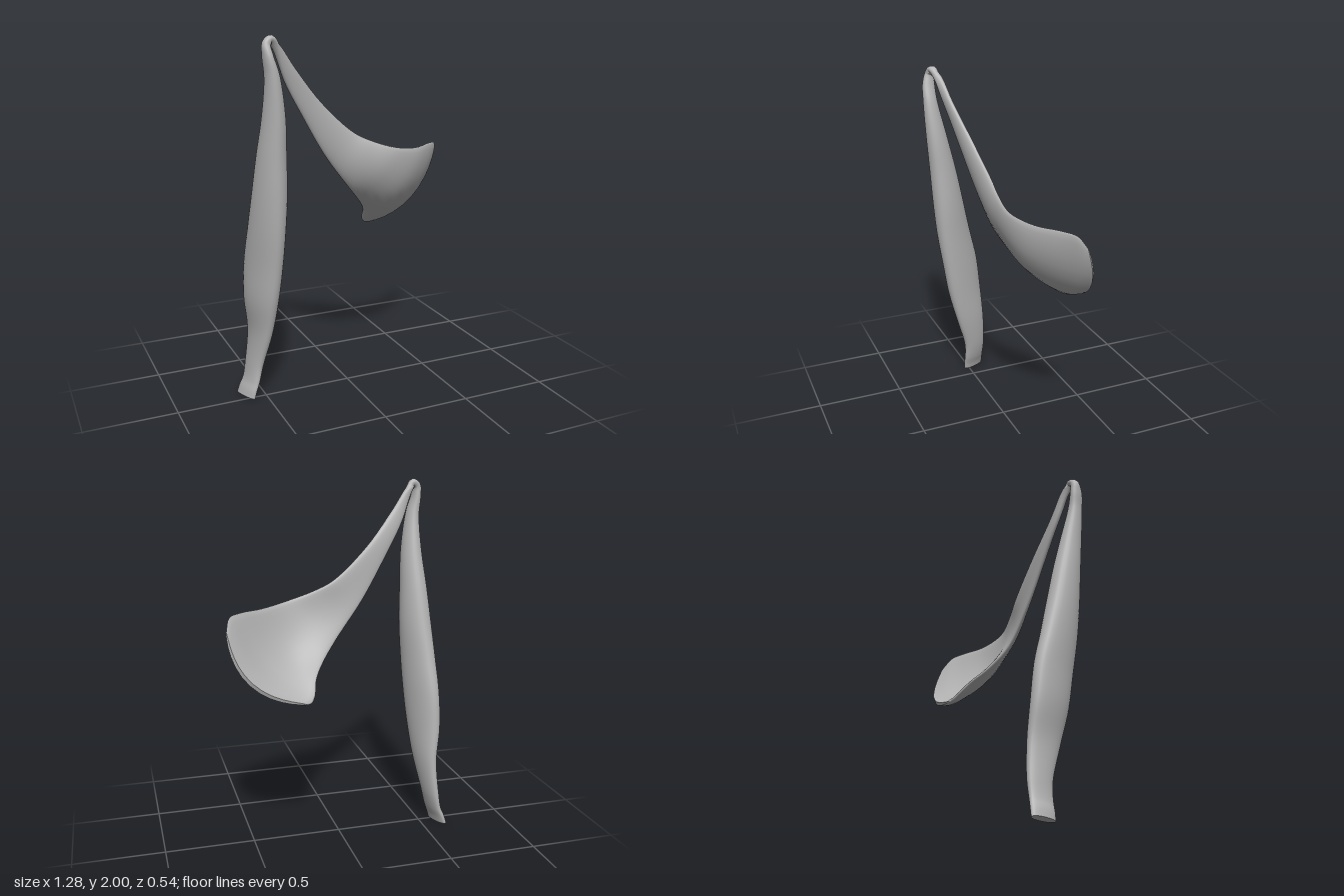
import * as THREE from 'three';

// leg stations, foot to fold: y, centre x, centre z, half width, half thickness, x lean of the width direction
const LEG = [
  [0.008, -0.606, -0.036, 0.074, 0.02, 0.38],
  [0.05, -0.594, -0.034, 0.073, 0.022, 0.35],
  [0.1, -0.575, -0.032, 0.07, 0.024, 0.32],
  [0.2, -0.555, -0.03, 0.073, 0.031, 0.3],
  [0.4, -0.528, 0.005, 0.098, 0.04, 0.32],
  [0.6, -0.528, 0.04, 0.122, 0.055, 0.42],
  [0.8, -0.52, 0.07, 0.13, 0.06, 0.45],
  [1.0, -0.51, 0.11, 0.12, 0.065, 0.47],
  [1.2, -0.5, 0.143, 0.104, 0.068, 0.49],
  [1.4, -0.495, 0.172, 0.085, 0.062, 0.49],
  [1.6, -0.49, 0.205, 0.065, 0.05, 0.49],
  [1.8, -0.502, 0.232, 0.043, 0.034, 0.4],
  [1.9, -0.522, 0.233, 0.036, 0.025, 0.2],
];

// fold, arm and dish stations: lower edge, middle, upper edge, half thickness
const ARM = [
  [[-0.527, 1.958, 0.25], [-0.525, 1.958, 0.225], [-0.523, 1.958, 0.2], 0.022],
  [[-0.5, 1.976, 0.24], [-0.498, 1.978, 0.216], [-0.496, 1.976, 0.192], 0.022],
  [[-0.475, 1.93, 0.215], [-0.465, 1.938, 0.198], [-0.448, 1.95, 0.184], 0.02],
  [[-0.42, 1.78, 0.165], [-0.39, 1.805, 0.164], [-0.355, 1.83, 0.16], 0.02],
  [[-0.3, 1.572, 0.122], [-0.25, 1.608, 0.12], [-0.193, 1.643, 0.106], 0.022],
  [[-0.16, 1.352, 0.08], [-0.08, 1.41, 0.088], [0.005, 1.472, 0.073], 0.022],
  [[0.0, 1.158, 0.025], [0.045, 1.29, 0.08], [0.11, 1.42, 0.078], 0.022],
  [[0.1, 1.055, -0.06], [0.165, 1.2, 0.055], [0.26, 1.372, 0.078], 0.023],
  [[0.165, 0.98, -0.15], [0.295, 1.11, 0.0], [0.42, 1.348, 0.012], 0.024],
  [[0.19, 0.905, -0.215], [0.41, 1.05, -0.1], [0.55, 1.35, -0.073], 0.024],
  [[0.215, 0.876, -0.236], [0.49, 1.02, -0.195], [0.618, 1.338, -0.128], 0.021],
  [[0.25, 0.88, -0.248], [0.535, 1.012, -0.256], [0.642, 1.275, -0.176], 0.011],
];

// smooth band lofted through the stations, closed at both ends
function loftBand(stations, steps, sides) {
  const curve = (pts) => new THREE.CatmullRomCurve3(pts);
  const [low, mid, up] = [0, 1, 2].map((k) => curve(stations.map((s) => new THREE.Vector3(...s[k]))));
  const thick = curve(stations.map((s, i) => new THREE.Vector3(s[3], i * 0.1, 0)));

  // point on the middle surface, s runs from -1 (lower edge) to 1 (upper edge)
  const at = (u, s) =>
    new THREE.Vector3()
      .addScaledVector(low.getPoint(u), (s * (s - 1)) / 2)
      .addScaledVector(mid.getPoint(u), 1 - s * s)
      .addScaledVector(up.getPoint(u), (s * (s + 1)) / 2);

  const pos = [];
  const index = [];
  const e = 0.002;
  for (let i = 0; i <= steps; i++) {
    const u = i / steps;
    const half = thick.getPoint(u).x;
    for (let j = 0; j < sides; j++) {
      const t = (j / sides) * Math.PI * 2;
      const s = Math.cos(t);
      const across = at(u, s + 0.02).sub(at(u, s - 0.02));
      const along = at(Math.min(1, u + e), s).sub(at(Math.max(0, u - e), s));
      const n = across.cross(along).normalize();
      const h = Math.sign(Math.sin(t)) * Math.pow(Math.abs(Math.sin(t)), 0.85) * half;
      pos.push(...at(u, s).addScaledVector(n, h).toArray());
    }
  }
  for (let i = 0; i < steps; i++) {
    for (let j = 0; j < sides; j++) {
      const k = (j + 1) % sides;
      const a = i * sides + j, b = (i + 1) * sides + j;
      const c = i * sides + k, d = (i + 1) * sides + k;
      index.push(a, b, c, c, b, d);
    }
  }
  // end caps with their own corners, so that the rims stay crisp
  for (const [ring, flip] of [[0, false], [steps, true]]) {
    const base = pos.length / 3;
    pos.push(...pos.slice(ring * sides * 3, (ring + 1) * sides * 3));
    for (let j = 0; j < sides / 2; j++) {
      const a = base + j, b = base + j + 1;
      const c = base + ((sides - j) % sides), d = base + sides - j - 1;
      for (const [p, q, r] of [[a, b, d], [a, d, c]]) {
        if (p === q || q === r || p === r) continue;
        index.push(...(flip ? [p, r, q] : [p, q, r]));
      }
    }
  }
  const geo = new THREE.BufferGeometry();
  geo.setAttribute('position', new THREE.Float32BufferAttribute(pos, 3));
  geo.setIndex(index);
  geo.computeVertexNormals();
  return geo;
}

export function createModel() {
  const group = new THREE.Group();
  group.name = 'foldedBand';
  const grey = new THREE.MeshStandardMaterial({ color: 0xb4b4b4 });
  grey.name = 'light grey';

  const legStations = LEG.map(([y, x, z, a, b, lean]) => {
    const dx = lean * a, dz = Math.sqrt(1 - lean * lean) * a;
    return [[x + dx, y, z + dz], [x, y, z], [x - dx, y, z - dz], b];
  });

  // leg, fold, arm and dish are one continuous band
  const band = new THREE.Mesh(loftBand([...legStations, ...ARM], 120, 28), grey);
  band.name = 'legAndDishedArm';
  group.add(band);
  return group;
}
